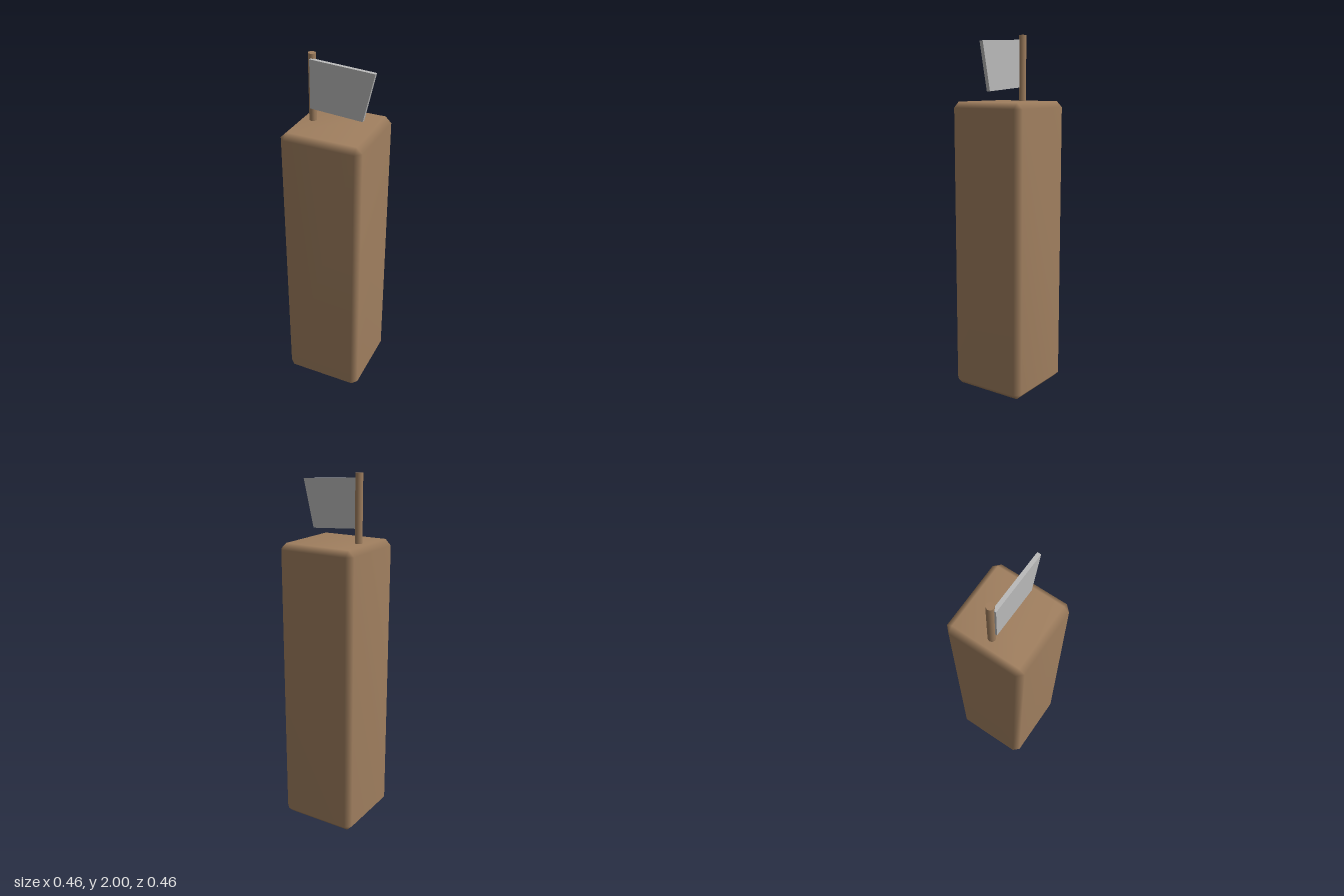
import * as THREE from 'three';
import { mergeVertices } from 'three/addons/utils/BufferGeometryUtils.js';
import { ConvexGeometry } from 'three/addons/geometries/ConvexGeometry.js';

// Box with every edge cut by one chamfer, shaded smoothly across the cuts
function chamferedBox(w, h, d, cut) {
  const points = [];
  for (const sx of [-1, 1]) for (const sy of [-1, 1]) for (const sz of [-1, 1]) {
    for (let axis = 0; axis < 3; axis++) {
      const inset = [cut, cut, cut];
      inset[axis] = 0;
      points.push(new THREE.Vector3(
        sx * (w / 2 - inset[0]), sy * (h / 2 - inset[1]), sz * (d / 2 - inset[2])));
    }
  }
  const raw = new ConvexGeometry(points);
  raw.deleteAttribute('normal');
  const geometry = mergeVertices(raw, 1e-4);
  geometry.computeVertexNormals();
  return geometry;
}

export function createModel() {
  const model = new THREE.Group();
  model.name = 'flagTower';

  const wood = new THREE.MeshStandardMaterial({ color: 0xa07f5f });
  wood.name = 'wood brown';
  const cloth = new THREE.MeshStandardMaterial({ color: 0xbababa });
  cloth.name = 'cloth grey';

  const add = (name, geometry, material, x, y, z) => {
    const mesh = new THREE.Mesh(geometry, material);
    mesh.name = name;
    mesh.position.set(x, y, z);
    model.add(mesh);
  };

  // Tall block
  const height = 1.637;
  add('tower', chamferedBox(0.455, height, 0.455, 0.033), wood, 0, height / 2, 0);

  // Eight-sided pole standing on the block
  add('flagPole', new THREE.CylinderGeometry(0.021, 0.021, 0.38, 8), wood, -0.138, 1.81, 0);

  // Slanted flag in front of the pole
  const outline = new THREE.Shape([
    [-0.138, 1.712], [0.156, 1.693], [0.217, 1.955], [-0.138, 1.975],
  ].map(([x, y]) => new THREE.Vector2(x, y)));
  add('flag', new THREE.ExtrudeGeometry(outline, { depth: 0.021, bevelEnabled: false }), cloth, 0, 0, 0.01);

  return model;
}
